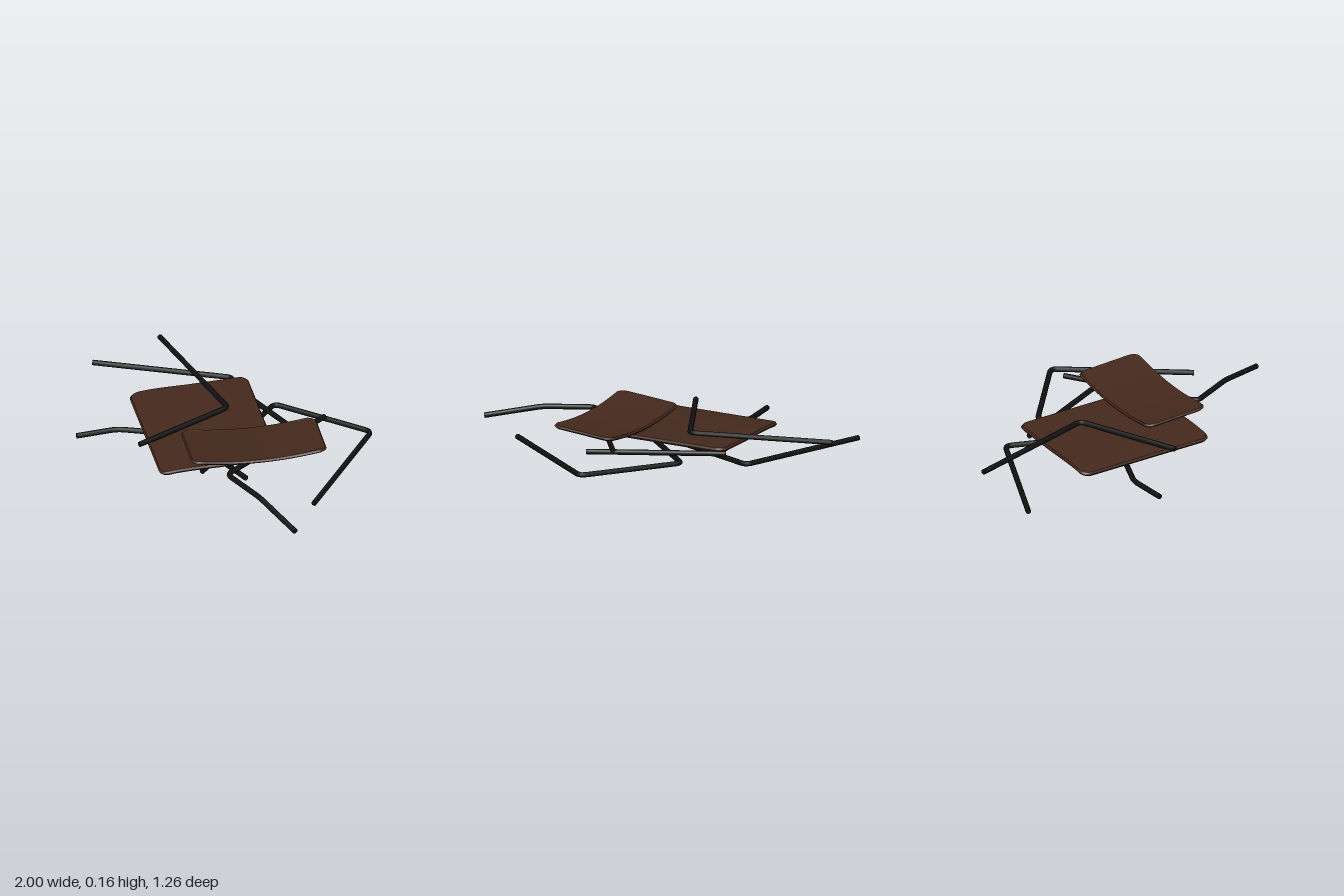
import * as THREE from 'three';
import { toCreasedNormals } from 'three/addons/utils/BufferGeometryUtils.js';

const R = 0.0145;
const metal = new THREE.MeshStandardMaterial({ color: 0x111111, side: THREE.DoubleSide });
const brown = new THREE.MeshStandardMaterial({ color: 0x45291d });

// Bent metal tube through the given corners, each corner rounded, ends capped
function bentTube(name, corners, bend = 0.035) {
  const pts = corners.map((c) => new THREE.Vector3(...c));
  const path = new THREE.CurvePath();
  let start = pts[0];
  for (let i = 1; i < pts.length - 1; i++) {
    const before = pts[i - 1].clone().sub(pts[i]).setLength(bend).add(pts[i]);
    const after = pts[i + 1].clone().sub(pts[i]).setLength(bend).add(pts[i]);
    path.add(new THREE.LineCurve3(start, before));
    path.add(new THREE.QuadraticBezierCurve3(before, pts[i], after));
    start = after;
  }
  const end = pts[pts.length - 1];
  path.add(new THREE.LineCurve3(start, end));

  const group = new THREE.Group();
  group.name = name;
  const tube = new THREE.Mesh(new THREE.TubeGeometry(path, pts.length > 2 ? 120 : 1, R, 10), metal);
  tube.name = name + 'Tube';
  group.add(tube);
  for (const [p, next] of [[pts[0], pts[1]], [end, pts[pts.length - 2]]]) {
    const cap = new THREE.Mesh(new THREE.CircleGeometry(R, 10), metal);
    cap.name = name + 'EndCap';
    cap.position.copy(p);
    cap.lookAt(p.clone().multiplyScalar(2).sub(next));
    group.add(cap);
  }
  return group;
}

// Thin board with rounded corners and softened rim, bent by height(s, t), s and t in -1..1
function board(name, width, depth, thick, corner, height) {
  const geo = new THREE.BoxGeometry(2, 2, 2, 24, 2, 24);
  const pos = geo.attributes.position;
  const hw = width / 2, hd = depth / 2;
  for (let i = 0; i < pos.count; i++) {
    const s = Math.sin(pos.getX(i) * Math.PI / 2);
    const t = Math.sin(pos.getZ(i) * Math.PI / 2);
    const side = pos.getY(i);
    const over = Math.max(0, Math.abs(t) * hd - (hd - corner));
    const cut = corner - Math.sqrt(Math.max(0, corner * corner - over * over));
    const inset = Math.abs(side) > 0.5 ? 0.007 : 0;
    pos.setXYZ(i, s * (hw - cut - inset), height(s, t) + side * thick / 2, t * (hd - inset));
  }
  const mesh = new THREE.Mesh(toCreasedNormals(geo, 0.6), brown);
  mesh.name = name;
  return mesh;
}

export function createModel() {
  const model = new THREE.Group();
  model.name = 'dismantledChair';

  // Leg frames lying on the ground
  model.add(bentTube('leftLegFrame', [
    [-0.99, 0.0155, 0.12], [-0.42, 0.0155, -0.38], [-0.01, 0.0155, 0.035],
    [-0.40, 0.0155, 0.41], [-0.48, 0.0155, 0.62]]));
  model.add(bentTube('rightLegFrame', [
    [0.81, 0.021, 0.03], [0.445, 0.021, -0.635], [-0.08, 0.021, -0.39], [0.205, 0.021, 0.31]]));

  // Straight cross bars under the seat
  for (const [name, z] of [['rearCrossBar', -0.30], ['frontCrossBar', 0.19]]) {
    model.add(bentTube(name, [[-0.31, 0.048, z], [0.43, 0.048, z]]));
  }

  // Upper frame pieces resting on the seat
  model.add(bentTube('leftBackFrame', [
    [-0.87, 0.099, -0.235], [-0.11, 0.099, -0.105], [-0.11, 0.099, 0.485]]));
  model.add(bentTube('rightBackFrame', [
    [1, 0.05, 0.30], [0.69, 0.105, 0.30], [0.41, 0.105, 0.30], [0.28, 0.105, -0.45]]));

  // Seat with its front edge rolled down and its back edge slightly raised
  const seat = board('seat', 0.80, 0.643, 0.022, 0.045,
    (s, t) => 0.076 + 0.008 * Math.max(0, -t) - 0.016 * Math.max(0, t) ** 4);
  seat.position.set(-0.073, 0, 0.084);
  seat.rotation.y = -0.439;
  model.add(seat);

  // Curved backrest lying across the seat
  const backrest = board('backrest', 0.728, 0.368, 0.018, 0.045,
    (s, t) => 0.118 + 0.026 * s * s + 0.012 * t);
  backrest.position.set(0.288, 0, 0.029);
  backrest.rotation.y = 1.096;
  model.add(backrest);

  return model;
}
